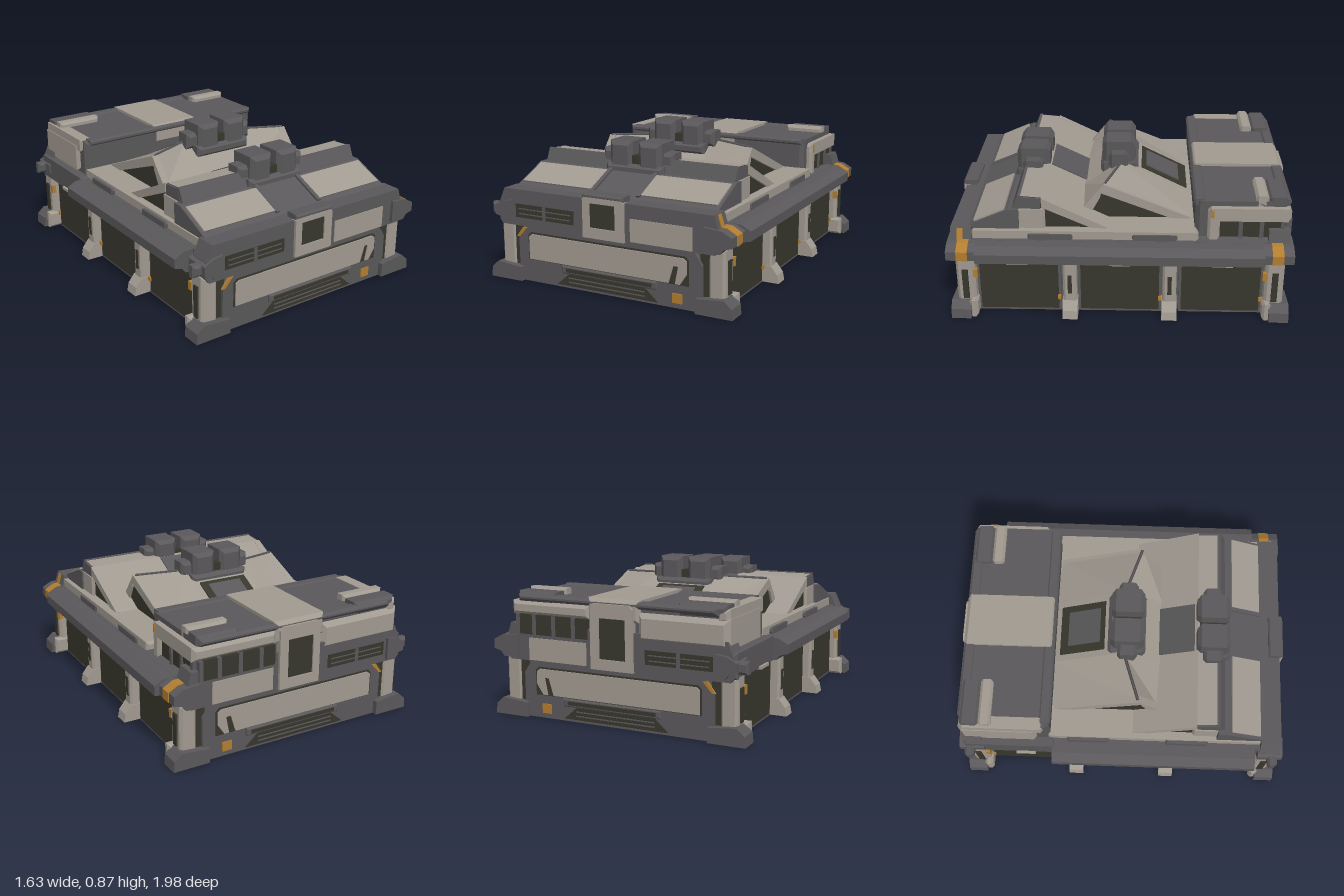
import * as THREE from 'three';

const mat = (name, color) => Object.assign(new THREE.MeshStandardMaterial({ color }), { name });
const LIGHT = mat('warm light panel', 0xa19a91);
const DARK = mat('dark grey hull', 0x5a585a);
const SHADE = mat('olive black recess', 0x38372d);
const ORANGE = mat('orange marking', 0xb27e30);

export function createModel() {
  const root = new THREE.Group();
  root.name = 'industrialBuilding';

  const add = (name, geo, m) => {
    const mesh = new THREE.Mesh(geo, m);
    mesh.name = name;
    root.add(mesh);
    return mesh;
  };

  // Box from its bounds, with an optional chamfer
  const box = (name, m, xa, xb, y0, y1, za, zb, c = 0) => {
    const [x0, x1, z0, z1] = [Math.min(xa, xb), Math.max(xa, xb), Math.min(za, zb), Math.max(za, zb)];
    let g;
    if (c === 0) g = new THREE.BoxGeometry(x1 - x0, y1 - y0, z1 - z0);
    else {
      const w = (x1 - x0) / 2 - c, h = (y1 - y0) / 2 - c, d = z1 - z0 - 2 * c;
      const s = new THREE.Shape([[-w, -h], [w, -h], [w, h], [-w, h]].map(p => new THREE.Vector2(...p)));
      g = new THREE.ExtrudeGeometry(s, { depth: d, bevelSize: c, bevelThickness: c, bevelSegments: 1 });
      g.translate(0, 0, -d / 2);
    }
    g.translate((x0 + x1) / 2, (y0 + y1) / 2, (z0 + z1) / 2);
    return add(name, g, m);
  };

  // Outline in (x, y) pushed along z
  const prismZ = (name, m, pts, z0, z1, hole) => {
    const s = new THREE.Shape(pts.map(p => new THREE.Vector2(...p)));
    if (hole) s.holes.push(new THREE.Path(hole.map(p => new THREE.Vector2(...p))));
    const g = new THREE.ExtrudeGeometry(s, { depth: Math.abs(z1 - z0), bevelEnabled: false });
    return add(name, g.translate(0, 0, Math.min(z0, z1)), m);
  };

  // Outline in (z, y) pushed along x
  const prismX = (name, m, pts, xa, xb) => {
    const s = new THREE.Shape(pts.map(p => new THREE.Vector2(...p)));
    const g = new THREE.ExtrudeGeometry(s, { depth: Math.abs(xb - xa), bevelEnabled: false });
    return add(name, g.rotateY(-Math.PI / 2).translate(Math.max(xa, xb), 0, 0), m);
  };

  // Roof lofted through (z, y) sections, with dark glazed ends
  LIGHT.side = SHADE.side = THREE.DoubleSide;
  const loftRoof = (name, sections) => {
    const pos = [], n = sections[0].pts.length;
    const P = (i, j) => [sections[i].x, sections[i].pts[j % n][1], sections[i].pts[j % n][0]];
    const last = sections.length - 1;
    for (let i = 0; i < last; i++)
      for (let j = 0; j < n; j++)
        pos.push(...P(i, j), ...P(i, j + 1), ...P(i + 1, j + 1), ...P(i, j), ...P(i + 1, j + 1), ...P(i + 1, j));
    const split = pos.length / 3;
    for (let j = 1; j < n - 1; j++) {
      pos.push(...P(0, 0), ...P(0, j + 1), ...P(0, j));
      pos.push(...P(last, 0), ...P(last, j), ...P(last, j + 1));
    }
    const g = new THREE.BufferGeometry();
    g.setAttribute('position', new THREE.Float32BufferAttribute(pos, 3));
    g.computeVertexNormals();
    g.addGroup(0, split, 0);
    g.addGroup(split, pos.length / 3 - split, 1);
    add(name, g, [LIGHT, SHADE]);
  };

  // Lower hall and deck
  box('lowerHall', DARK, -0.66, 0.66, 0, 0.36, -0.93, 0.93);
  box('upperHall', DARK, -0.7, 0.7, 0.34, 0.48, -0.95, 0.95);
  box('deck', LIGHT, -0.67, 0.68, 0.47, 0.53, -0.45, 0.86, 0.015);

  // Hexagonal overhang used for the side rails and their end blocks
  const rail = (name, s, reach, z0, z1) => prismZ(name, DARK,
    [[0.62, 0.35], [reach - 0.07, 0.35], [reach - 0.045, 0.38], [reach, 0.39], [reach, 0.445], [reach - 0.055, 0.475], [0.62, 0.485]]
      .map(([x, y]) => [s * x, y]), z0, z1);

  // Side walls
  for (const s of [-1, 1]) {
    for (const z of [0.59, 0, -0.59]) {
      box('doorFrame', DARK, s * 0.65, s * 0.685, 0, 0.35, z - 0.245, z + 0.245);
      box('bayDoor', SHADE, s * 0.68, s * 0.69, 0.015, 0.335, z - 0.23, z + 0.23);
      box('doorMarker', ORANGE, s * 0.688, s * 0.7, 0.085, 0.11, z - 0.245, z - 0.225);
      box('doorLamp', LIGHT, s * 0.69, s * 0.745, 0.343, 0.36, z - 0.06, z + 0.06);
    }
    for (const z of [0.4, -0.2]) box('railPlate', DARK, s * 0.64, s * 0.69, 0.48, 0.515, z - 0.13, z + 0.13, 0.01);
    for (const z of [0.29, -0.29]) {
      box('pillar', LIGHT, s * 0.65, s * 0.735, 0.06, 0.36, z - 0.04, z + 0.04, 0.012);
      box('pillarSlot', SHADE, s * 0.73, s * 0.74, 0.15, 0.27, z - 0.012, z + 0.012);
      prismZ('pillarFoot', LIGHT, [[0.65, 0], [0.785, 0], [0.775, 0.05], [0.735, 0.1], [0.65, 0.1]].map(([x, y]) => [s * x, y]), z - 0.045, z + 0.045);
    }
    for (const e of [-1, 1]) {
      box('cornerPost', LIGHT, s * 0.63, s * 0.73, 0.05, 0.36, e * 0.84, e * 0.95, 0.015);
      box('cornerSlot', SHADE, s * 0.725, s * 0.74, 0.11, 0.3, e * 0.88, e * 0.915);
      box('cornerInset', SHADE, s * 0.58, s * 0.64, 0.08, 0.33, e * 0.9, e * 0.94);
      prismZ('cornerFoot', DARK, [[0.57, 0], [0.79, 0], [0.785, 0.06], [0.74, 0.1], [0.57, 0.085]].map(([x, y]) => [s * x, y]), e * 0.87, e * 0.985);
      box('cornerToe', LIGHT, s * 0.66, s * 0.77, 0, 0.11, e * 0.83, e * 0.88, 0.015);
      box('cornerMarker', ORANGE, s * 0.71, s * 0.735, 0.25, 0.3, e * 0.825, e * 0.85);
    }
    rail('sideRail', s, 0.815, s > 0 ? -0.82 : -0.42, 0.82);
  }
  box('rearLeftLedge', DARK, -0.73, -0.62, 0.35, 0.49, -0.97, -0.4, 0.02);

  // Rail ends: broad ones with orange bands on one side, small brackets on the other
  for (const e of [-1, 1]) {
    rail('railEnd', 1, 0.785, e * 0.82, e * 0.99);
    prismZ('railBand', ORANGE, [[0.7, 0.36], [0.742, 0.379], [0.789, 0.39], [0.789, 0.446], [0.732, 0.479], [0.63, 0.489]],
      e * 0.865, e * 0.93);
    rail('railBracket', -1, 0.74, e * 0.84, e * 0.99);
    box('bracketStub', DARK, -0.79, -0.7, 0.38, 0.45, e * 0.9, e * 0.96, 0.015);
  }
  prismZ('bandSideMarker', ORANGE, [[0.69, 0.47], [0.706, 0.47], [0.682, 0.545], [0.666, 0.545]], 0.9, 0.935);

  // Front and rear faces
  for (const e of [-1, 1]) {
    const z = d => e * d;
    prismZ('lowerFace', DARK, [[-0.6, 0], [0.6, 0], [0.6, 0.26], [0.55, 0.335], [-0.55, 0.335], [-0.6, 0.26]], z(0.92), z(0.955));
    prismZ('panelRecess', SHADE, [[-0.53, 0.135], [0.52, 0.135], [0.52, 0.28], [0.5, 0.3], [-0.51, 0.3], [-0.53, 0.28]], z(0.95), z(0.959));
    prismZ('lowerPanel', LIGHT, [[-0.52, 0.14], [0.4, 0.14], [0.43, 0.24], [0.46, 0.24], [0.44, 0.14], [0.47, 0.14], [0.51, 0.2], [0.51, 0.275], [0.49, 0.29], [-0.5, 0.29], [-0.52, 0.275]], z(0.95), z(0.966));
    prismZ('lowerVent', SHADE, [[-0.33, 0.015], [0.33, 0.015], [0.25, 0.085], [-0.25, 0.085]], z(0.95), z(0.962));
    box('ventHood', DARK, -0.29, 0.33, 0.088, 0.133, z(0.95), z(0.972), 0.006);
    box('hoodVent', SHADE, -0.26, 0.3, 0.1, 0.122, z(0.968), z(0.975));
    for (const y of [0.035, 0.06]) box('ventSlat', DARK, -0.25, 0.25, y, y + 0.006, z(0.958), z(0.966));
    box('squareMarker', ORANGE, 0.42, 0.48, 0.03, 0.085, z(0.95), z(0.962));
    prismZ('slantMarker', ORANGE, [[-0.61, 0.265], [-0.59, 0.265], [-0.535, 0.325], [-0.565, 0.325]], z(0.95), z(0.962));

    // Upper band with its vent and panel
    prismZ('upperBand', DARK, [[-0.7, 0.335], [0.68, 0.335], [0.7, 0.36], [0.7, 0.47], [0.675, 0.55], [-0.68, 0.55], [-0.72, 0.46], [-0.72, 0.36]], z(0.85), z(0.972));
    box('bandVent', SHADE, -0.6, -0.2, 0.385, 0.465, z(0.968), z(0.976));
    for (const y of [0.405, 0.435]) box('bandSlat', DARK, -0.58, -0.22, y, y + 0.006, z(0.974), z(0.979));
    box('ventDivider', DARK, -0.41, -0.39, 0.385, 0.465, z(0.97), z(0.98));
    box('bandPanel', LIGHT, 0.17, 0.55, 0.34, 0.47, z(0.968), z(0.977));

    // Central window with its surround
    const top = e > 0 ? 0.57 : 0.7, wt = e > 0 ? 0.53 : 0.62;
    prismZ('windowSurround', LIGHT,
      [[-0.13, 0.33], [0.135, 0.33], [0.135, top - 0.02], [0.115, top], [-0.11, top], [-0.13, top - 0.02]],
      z(0.95), z(0.988), [[-0.085, 0.39], [-0.085, wt], [0.08, wt], [0.08, 0.39]]);
    box('window', SHADE, -0.09, 0.085, 0.385, wt + 0.005, z(0.965), z(0.98));
  }
  box('surroundCap', DARK, -0.13, 0.135, 0.555, 0.585, 0.9, 0.99, 0.01);

  // Sloped front roof
  prismX('frontSlope', DARK, [[0.58, 0.5], [0.87, 0.5], [0.87, 0.55], [0.64, 0.65], [0.58, 0.65]], -0.66, 0.65);
  for (const [a, b] of [[-0.64, -0.16], [0.16, 0.63]])
    prismX('frontSlopePanel', LIGHT, [[0.835, 0.56], [0.845, 0.573], [0.665, 0.651], [0.66, 0.636]], a, b);
  for (const x of [-0.15, 0.15])
    prismX('troughRib', DARK, [[0.84, 0.55], [0.86, 0.57], [0.64, 0.665], [0.62, 0.655]], x - 0.012, x + 0.012);

  // Front sawtooth roof with a dark front wall
  const tooth = [[0.6, 0.5], [0.6, 0.65], [0.57, 0.725], [0.45, 0.715], [0.07, 0.53], [0.07, 0.5]];
  loftRoof('frontSawtoothRoof', [-0.62, 0.62].map(x => ({ x, pts: tooth })));
  prismX('sawtoothFrontWall', DARK, [[0.6, 0.63], [0.625, 0.64], [0.585, 0.73], [0.568, 0.728]], -0.63, 0.63);

  // Rear hipped roof
  const outer = [[0.23, 0.5], [0.23, 0.58], [0.1, 0.742], [-0.42, 0.53], [-0.42, 0.5]];
  const inner = [[0.23, 0.5], [0.23, 0.6], [0, 0.755], [-0.44, 0.535], [-0.44, 0.5]];
  loftRoof('rearHipRoof', [[-0.49, outer], [-0.2, inner], [0.2, inner], [0.49, outer]].map(([x, pts]) => ({ x, pts })));

  // Side trim of both roofs: light slab edges over dark triangles
  for (const s of [-1, 1]) {
    prismX('frontSlabEdge', LIGHT, [[0.45, 0.717], [0.07, 0.532], [0.14, 0.52], [0.45, 0.66]], s * 0.59, s * 0.635);
    box('frontRidgeEnd', LIGHT, s * 0.56, s * 0.64, 0.52, 0.65, 0.43, 0.6, 0.012);
    prismX('frontRidgeCheek', DARK, [[0.6, 0.65], [0.57, 0.722], [0.455, 0.712], [0.455, 0.65]], s * 0.61, s * 0.632);
    prismX('rearSlabEdge', LIGHT, [[0.1, 0.744], [-0.42, 0.532], [-0.31, 0.525], [0.12, 0.69]], s * 0.46, s * 0.503);
    prismX('rearSlabFront', LIGHT, [[0.1, 0.743], [0.12, 0.66], [0.19, 0.53], [0.232, 0.53], [0.232, 0.582]], s * 0.46, s * 0.503);
    const ridge = new THREE.LineCurve3(new THREE.Vector3(s * 0.2, 0.755, 0), new THREE.Vector3(s * 0.49, 0.742, 0.095));
    add('hipEdge', new THREE.TubeGeometry(ridge, 1, 0.009, 4), DARK);
  }
  prismX('frontRoofTrough', DARK, [[0.43, 0.68], [0.43, 0.713], [0.2, 0.601], [0.2, 0.57]], -0.155, 0.15);
  prismX('rearRoofTrough', SHADE, [[-0.12, 0.67], [-0.12, 0.703], [-0.4, 0.563], [-0.4, 0.53]], -0.16, 0.155);
  prismX('rearRoofHatch', DARK, [[-0.15, 0.68], [-0.15, 0.695], [-0.35, 0.596], [-0.35, 0.575]], -0.11, 0.11);

  // Paired chimneys
  for (const [z, top] of [[0.02, 0.87], [0.54, 0.82]]) {
    box('chimneyBase', DARK, -0.19, 0.19, top - 0.2, top - 0.13, z - 0.12, z + 0.11, 0.02);
    box('chimneyCore', SHADE, -0.04, 0.04, top - 0.15, top - 0.08, z - 0.08, z + 0.08);
    for (const s of [-1, 1]) {
      box('chimney', DARK, s * 0.02, s * 0.17, top - 0.17, top, z - 0.1, z + 0.1, 0.025);
      box('chimneySidePod', DARK, s * 0.15, s * 0.235, top - 0.15, top - 0.055, z - 0.06, z + 0.06, 0.02);
    }
  }

  // Rear block
  box('rearBlock', DARK, -0.67, 0.63, 0.46, 0.71, -0.95, -0.43, 0.025);
  box('rearRoofLip', DARK, -0.64, 0.62, 0.68, 0.718, -0.49, -0.42, 0.012);
  box('rearBackLip', DARK, -0.62, 0.62, 0.68, 0.72, -0.975, -0.9, 0.015);
  box('rearRoofStrip', LIGHT, -0.165, 0.16, 0.6, 0.728, -0.975, -0.428, 0.02);
  box('rearWrapPanel', LIGHT, -0.69, -0.15, 0.5, 0.665, -0.978, -0.5, 0.03);
  box('rearSideTrim', LIGHT, -0.685, -0.61, 0.64, 0.715, -0.96, -0.46, 0.02);
  box('rearWindowTrim', LIGHT, 0.15, 0.665, 0.6, 0.68, -0.975, -0.5, 0.02);
  box('rearWindowPost', LIGHT, 0.58, 0.665, 0.48, 0.64, -0.57, -0.5, 0.015);
  box('rearSideWindow', SHADE, 0.62, 0.642, 0.49, 0.605, -0.94, -0.57);
  box('rearBackWindow', SHADE, 0.16, 0.61, 0.49, 0.605, -0.978, -0.94);
  for (const z of [-0.69, -0.81, -0.93]) box('rearSideMullion', DARK, 0.62, 0.652, 0.485, 0.605, z - 0.012, z + 0.012);
  for (const x of [0.25, 0.38, 0.51, 0.62]) box('rearBackMullion', DARK, x - 0.012, x + 0.012, 0.485, 0.605, -0.982, -0.95);
  box('rearMarker', ORANGE, 0.66, 0.67, 0.62, 0.67, -0.535, -0.52);
  for (const [a, b] of [[-0.67, -0.39], [0.38, 0.63]]) {
    box('roofCornerBar', LIGHT, a, b, 0.66, 0.745, -0.845, -0.77, 0.015);
    box('roofCornerCap', DARK, a, b, 0.66, 0.735, -0.96, -0.84, 0.02);
  }

  return root;
}
